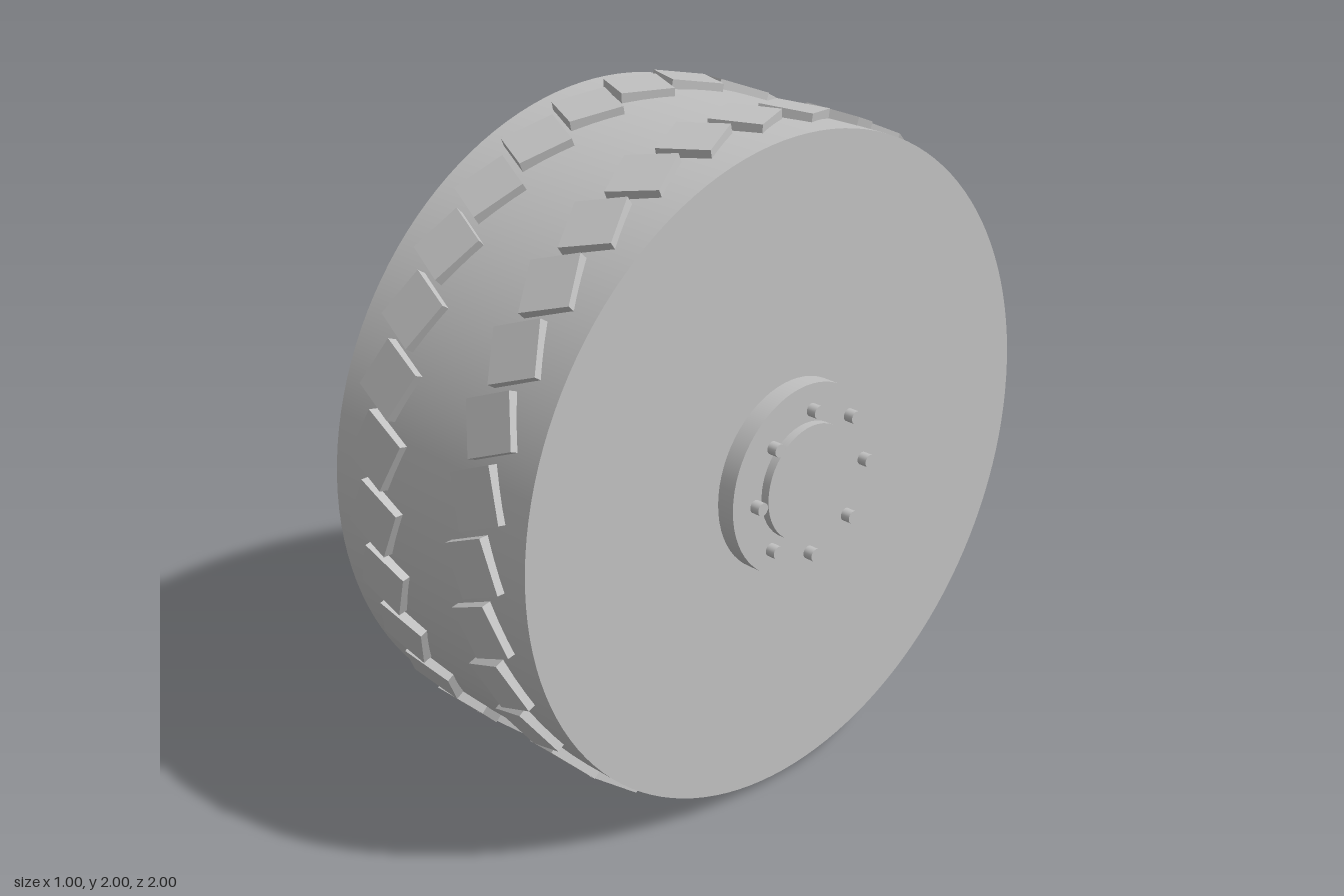
import * as THREE from 'three';

export function createModel() {
  const grey = new THREE.MeshStandardMaterial({ color: 0xc0c0c0 });
  grey.name = 'plain grey';

  const wheel = new THREE.Group();
  wheel.name = 'wheel';
  wheel.position.set(-0.01, 1, 0); // axle height

  // Cylinder lying along x, from x0 to x1
  const disc = (name, radius, x0, x1, sides, parent, y = 0, z = 0) => {
    const geometry = new THREE.CylinderGeometry(radius, radius, Math.abs(x1 - x0), sides);
    geometry.rotateZ(Math.PI / 2);
    const mesh = new THREE.Mesh(geometry, grey);
    mesh.name = name;
    mesh.position.set((x0 + x1) / 2, y, z);
    parent.add(mesh);
  };

  // Tyre body
  disc('tyre', 0.977, -0.39, 0.39, 128, wheel);

  // Two rows of slanted square tread blocks, mirrored into a chevron
  const blocks = 32;
  const blockGeometry = new THREE.BoxGeometry(0.156, 0.156, 0.03);
  for (const side of [-1, 1]) {
    const row = new THREE.Group();
    row.name = side > 0 ? 'leftTreadRow' : 'rightTreadRow';
    for (let i = 0; i < blocks; i++) {
      const spoke = new THREE.Group();
      spoke.rotation.x = (i / blocks) * Math.PI * 2;
      const block = new THREE.Mesh(blockGeometry, grey);
      block.name = 'treadBlock';
      block.position.set(side * 0.205, 0, 0.985);
      block.rotation.z = side * THREE.MathUtils.degToRad(24);
      spoke.add(block);
      row.add(spoke);
    }
    wheel.add(row);
  }

  // Hub flange, centre cap and ring of bolts on each side
  for (const side of [-1, 1]) {
    const hub = new THREE.Group();
    hub.name = side > 0 ? 'leftHub' : 'rightHub';
    disc('flange', 0.283, side * 0.38, side * 0.446, 64, hub);
    disc('centreCap', 0.171, side * 0.44, side * 0.472, 48, hub);
    for (let i = 0; i < 8; i++) {
      const a = (i / 8) * Math.PI * 2;
      // bolt heads stand slightly proud of the flange
      disc('bolt', 0.019, side * 0.468, side * 0.498, 20, hub, Math.sin(a) * 0.219, Math.cos(a) * 0.219);
    }
    wheel.add(hub);
  }

  const model = new THREE.Group();
  model.name = 'treadedWheel';
  model.add(wheel);
  return model;
}
